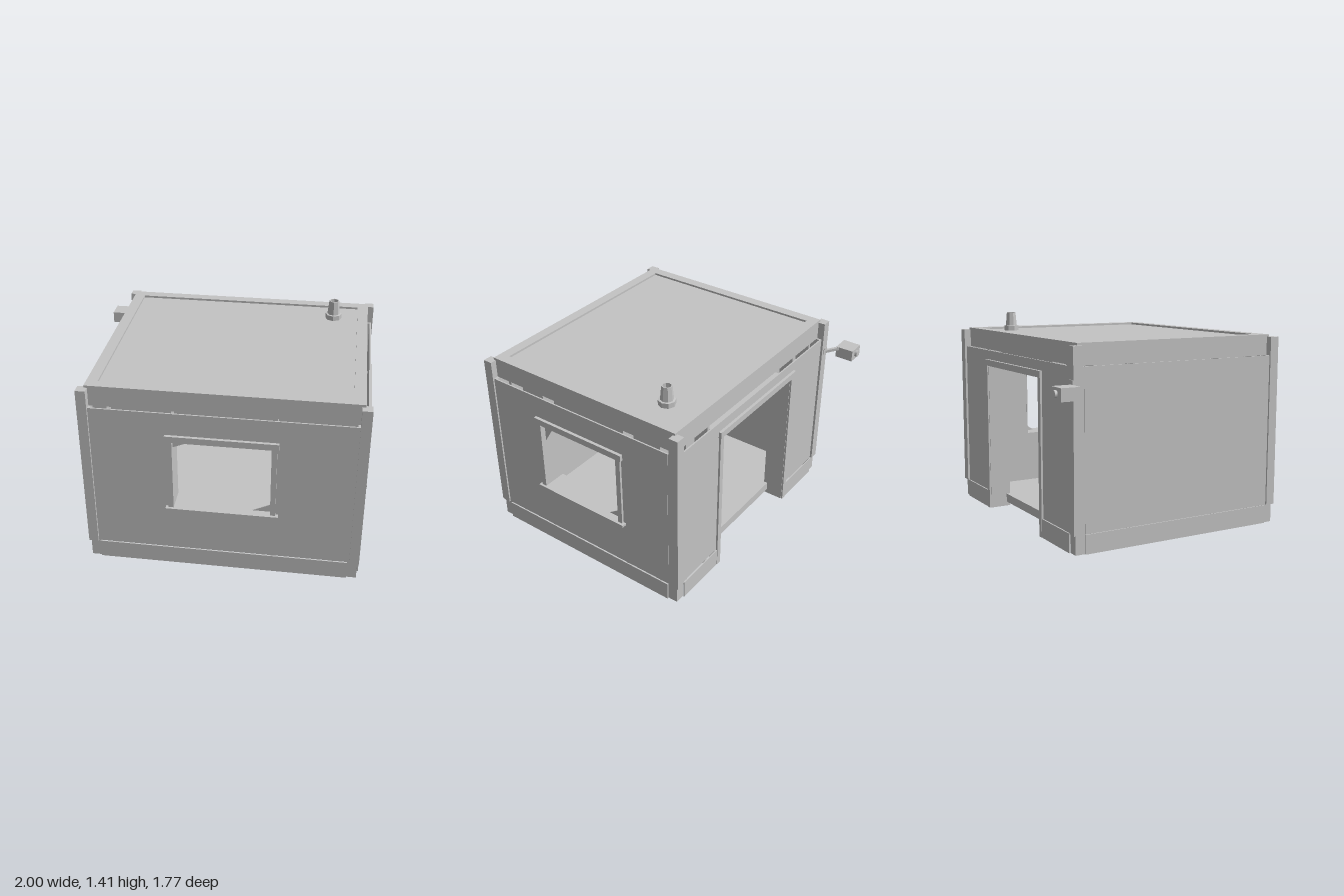
import * as THREE from 'three';

const CX = 0.077, CZ = 0.083;      // centre of the cabin body
const HX = 0.855, HZ = 0.73;       // half sizes of the roof
const BASE = 0.125, EAVE = 1.152, TOP = 1.29, FLOOR = 0.09;
const INNER = -0.11;               // room face of the hollow walls

export function createModel() {
  const root = new THREE.Group();
  root.name = 'cabin';
  const grey = new THREE.MeshStandardMaterial({ color: 0xc4c4c4 });
  grey.name = 'grey';

  const add = (parent, name, geo) => {
    const mesh = new THREE.Mesh(geo, grey);
    mesh.name = name;
    parent.add(mesh);
    return mesh;
  };
  // box given by its limits on each axis
  const box = (parent, name, x0, x1, y0, y1, z0, z1) => {
    const mesh = add(parent, name, new THREE.BoxGeometry(x1 - x0, y1 - y0, z1 - z0));
    mesh.position.set((x0 + x1) / 2, (y0 + y1) / 2, (z0 + z1) / 2);
    return mesh;
  };
  const polygon = (pts) => new THREE.Shape(pts.map((p) => new THREE.Vector2(...p)));
  const rect = (w, y0, y1) => polygon([[-w, y0], [w, y0], [w, y1], [-w, y1]]);
  const plate = (parent, name, shape, z0, z1) => {
    const geo = new THREE.ExtrudeGeometry(shape, { depth: z1 - z0, bevelEnabled: false });
    geo.translate(0, 0, z0);
    return add(parent, name, geo);
  };

  const body = new THREE.Group();
  body.name = 'body';
  body.position.set(CX, 0, CZ);
  root.add(body);

  // One side of the cabin, built facing +z with z = 0 on the roof edge
  const side = (name, angle, dist, half) => {
    const pivot = new THREE.Group();
    pivot.rotation.y = angle;
    const g = new THREE.Group();
    g.name = name;
    g.position.z = dist;
    g.userData.half = half;
    pivot.add(g);
    body.add(pivot);
    return g;
  };

  // Hollow wall: outer and inner sheets from one outline rule, with studs between
  const wall = (g, outline, studs) => {
    const w = g.userData.half;
    plate(g, 'outerSheet', outline(w, BASE), 0.024, 0.034);
    plate(g, 'innerSheet', outline(w - 0.076, 0.05), INNER, INNER + 0.01);
    for (const u of studs) for (const s of [-1, 1]) {
      box(g, 'stud', s * u - 0.01, s * u + 0.01, 0.03, EAVE, INNER + 0.005, -0.005);
    }
  };

  // Skirt strip and the floor rail behind it
  const base = (g, gap = 0) => {
    const w = g.userData.half, r = w - 0.05;
    if (gap) {
      box(g, 'skirt', -w, -gap, 0, BASE, 0.036, 0.044);
      box(g, 'skirt', gap, w, 0, BASE, 0.036, 0.044);
    } else box(g, 'skirt', -w, w, 0, BASE, 0.036, 0.044);
    box(g, 'floorRail', -r, r, 0.03, FLOOR, INNER, -0.085);
  };

  // Window: lining, outside trim and broken pane corners [sx, sy, width, height]
  const win = (g, shards) => {
    const w = 0.311, y0 = 0.461, y1 = 0.957;
    wall(g, (half, bottom) => {
      const shape = rect(half, bottom, EAVE);
      shape.holes.push(rect(w + 0.004, y0 - 0.004, y1 + 0.004));
      return shape;
    }, [0.328, g.userData.half - 0.09]);
    const ring = rect(w + 0.006, y0 - 0.006, y1 + 0.006);
    ring.holes.push(rect(w, y0, y1));
    plate(g, 'windowLining', ring, INNER - 0.002, 0.036);
    for (const s of [-1, 1]) {
      const a = s * w, b = s * (w + 0.034);
      box(g, 'windowJamb', Math.min(a, b), Math.max(a, b), y0, y1, 0.032, 0.05);
    }
    box(g, 'windowLintel', -0.356, 0.356, y1, 1.0, 0.032, 0.055);
    box(g, 'windowSill', -0.362, 0.362, 0.445, y0, 0.032, 0.067);
    for (const [sx, sy, dx, dy] of shards) {
      const x = sx * w, y = sy > 0 ? y1 : y0;
      const pts = [[x, y], [x - sx * dx, y], [x, y - sy * dy]];
      plate(g, 'glassShard', polygon(pts), 0.005, 0.01);
    }
  };

  // Front and side windows
  const front = side('frontSide', 0, HZ, 0.822);
  win(front, [[-1, 1, 0.145, 0.06], [1, -1, 0.115, 0.055]]);
  base(front);
  const windowSide = side('windowSide', Math.PI / 2, HX, 0.697);
  win(windowSide, [[-1, 1, 0.085, 0.14], [1, 1, 0.07, 0.05], [1, -1, 0.1, 0.07]]);
  base(windowSide);

  // Plain side
  const plain = side('plainSide', -Math.PI / 2, HX, 0.697);
  wall(plain, (half, bottom) => rect(half, bottom, EAVE), [0.328, 0.607]);
  base(plain);

  // Back with open doorway
  const back = side('backSide', Math.PI, HZ, 0.822);
  const dw = 0.412, dTop = 1.045;
  wall(back, (half, bottom) => polygon([
    [-half, bottom], [-dw, bottom], [-dw, dTop], [dw, dTop],
    [dw, bottom], [half, bottom], [half, EAVE], [-half, EAVE],
  ]), [0.51, 0.732]);
  for (const s of [-1, 1]) {
    const lim = (a, b) => [Math.min(s * a, s * b), Math.max(s * a, s * b)];
    box(back, 'doorLining', ...lim(dw - 0.003, dw + 0.005), 0, dTop, INNER - 0.002, 0.036);
    box(back, 'doorJamb', ...lim(dw, dw + 0.036), 0, dTop, 0.03, 0.047);
  }
  box(back, 'doorLiningTop', -dw, dw, dTop - 0.004, dTop + 0.004, INNER - 0.002, 0.036);
  box(back, 'doorLintel', -0.453, 0.453, dTop, 1.088, 0.03, 0.053);
  base(back, dw);

  // Floor slab inside the rails
  box(body, 'floor', -0.746, 0.746, 0.05, FLOOR, -0.621, 0.621);

  // Roof with raised rim around a shallow tray
  box(body, 'roofSlab', -HX, HX, EAVE, TOP - 0.014, -HZ, HZ);
  const rim = polygon([[-HX, -HZ], [HX, -HZ], [HX, HZ], [-HX, HZ]]);
  rim.holes.push(polygon([[-0.783, -0.66], [0.783, -0.66], [0.783, 0.66], [-0.783, 0.66]]));
  const rimMesh = plate(body, 'roofRim', rim, 0, 0.014);
  rimMesh.rotation.x = -Math.PI / 2;
  rimMesh.position.y = TOP - 0.014;

  // Corner posts and the columns they cover
  for (const sx of [-1, 1]) for (const sz of [-1, 1]) {
    const post = box(body, 'cornerPost', -0.032, 0.032, BASE, 1.275, -0.032, 0.032);
    post.position.x = sx * 0.866;
    post.position.z = sz * 0.746;
    const column = box(body, 'cornerColumn', -0.034, 0.034, 0, EAVE, -0.034, 0.034);
    column.position.x = sx * 0.853;
    column.position.z = sz * 0.729;
  }

  // Roof vent: flange and hollow tapered pipe
  const vent = new THREE.Group();
  vent.name = 'roofVent';
  vent.position.set(0.692, TOP - 0.014, -0.41);
  root.add(vent);
  const ventGeo = new THREE.LatheGeometry([[0.056, 0], [0.056, 0.034], [0.043, 0.036],
    [0.034, 0.131], [0.028, 0.131], [0.028, 0.06], [0, 0.06]]
    .map((p) => new THREE.Vector2(...p)), 8).toNonIndexed();
  ventGeo.computeVertexNormals();
  add(vent, 'ventPipe', ventGeo);

  // Corner camera on an arm
  const cam = new THREE.Group();
  cam.name = 'cornerCamera';
  root.add(cam);
  box(cam, 'cameraBox', -1, -0.88, 0.98, 1.06, -0.87, -0.743);
  const lens = add(cam, 'cameraLens', new THREE.CylinderGeometry(0.023, 0.023, 0.018, 10));
  lens.rotation.x = Math.PI / 2;
  lens.position.set(-0.94, 1.021, -0.878);
  box(cam, 'armPlate', -0.82, -0.78, 1.025, 1.075, -0.699, -0.69);
  const p0 = new THREE.Vector3(-0.80, 1.034, -0.68), p1 = new THREE.Vector3(-0.895, 1.049, -0.765);
  const arm = add(cam, 'cameraArm', new THREE.BoxGeometry(0.02, 0.02, p0.distanceTo(p1)));
  arm.position.copy(p0).lerp(p1, 0.5);
  arm.lookAt(p1);

  return root;
}
